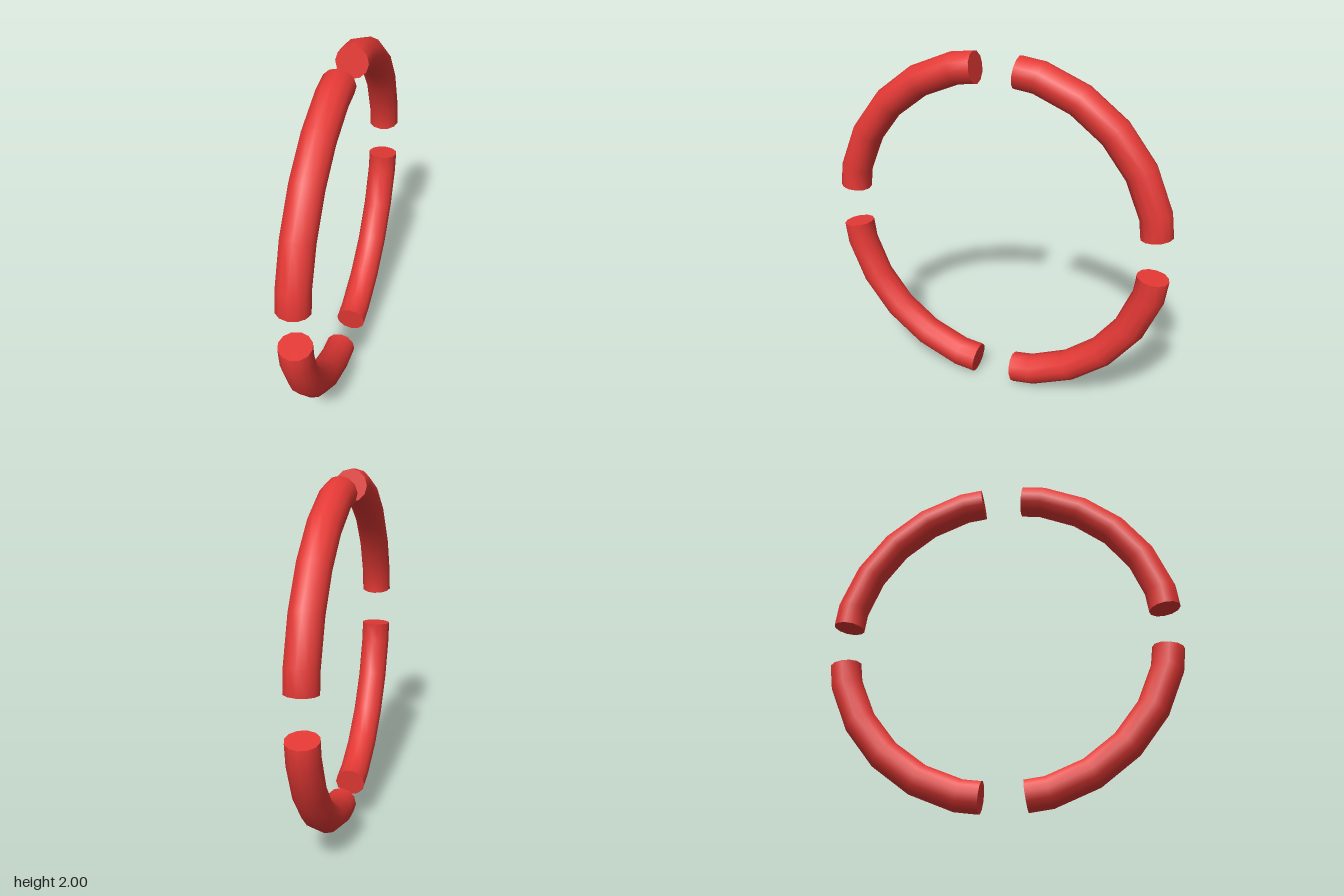
import * as THREE from 'three';
import { mergeGeometries } from 'three/addons/utils/BufferGeometryUtils.js';

const RING = 0.928;   // centre line radius
const TUBE = 0.0895;  // tube radius
const SIDES = 12;     // around the tube
const STEPS = 6;      // 15 degree steps per quarter
const HALF_STEP = Math.PI / 24;
const SHRINK = Math.cos(HALF_STEP); // radius at the middle of a chord

// Flat end disc, lying on the cut through the middle of a segment
function endCap(angle, tilt) {
  return new THREE.CircleGeometry(TUBE, SIDES)
    .scale(SHRINK, 1, 1)
    .rotateX(tilt)
    .translate(RING * SHRINK, 0, 0)
    .rotateZ(angle);
}

// Quarter of a faceted ring, its first and last segments cut in half
function arcGeometry() {
  const tube = new THREE.TorusGeometry(RING, TUBE, SIDES, STEPS, Math.PI / 2);
  const pos = tube.attributes.position;
  const a = new THREE.Vector3();
  const b = new THREE.Vector3();
  for (let j = 0; j <= SIDES; j++) {
    const row = j * (STEPS + 1);
    for (const [end, next] of [[row, row + 1], [row + STEPS, row + STEPS - 1]]) {
      a.fromBufferAttribute(pos, end);
      b.fromBufferAttribute(pos, next);
      a.lerp(b, 0.5);
      pos.setXYZ(end, a.x, a.y, a.z);
    }
  }
  return mergeGeometries([
    tube,
    endCap(HALF_STEP, Math.PI / 2),
    endCap(Math.PI / 2 - HALF_STEP, -Math.PI / 2),
  ]);
}

export function createModel() {
  const model = new THREE.Group();
  model.name = 'segmentedRing';
  const red = new THREE.MeshStandardMaterial({ color: 0xe53935 });

  // Stand the ring in the y-z plane, facing sideways
  const geometry = arcGeometry().rotateY(Math.PI / 2);
  const names = ['upperBackArc', 'upperFrontArc', 'lowerFrontArc', 'lowerBackArc'];
  names.forEach((name, i) => {
    const arc = new THREE.Mesh(geometry, red);
    arc.name = name;
    arc.position.y = 1;
    arc.rotation.x = i * Math.PI / 2;
    model.add(arc);
  });
  return model;
}
